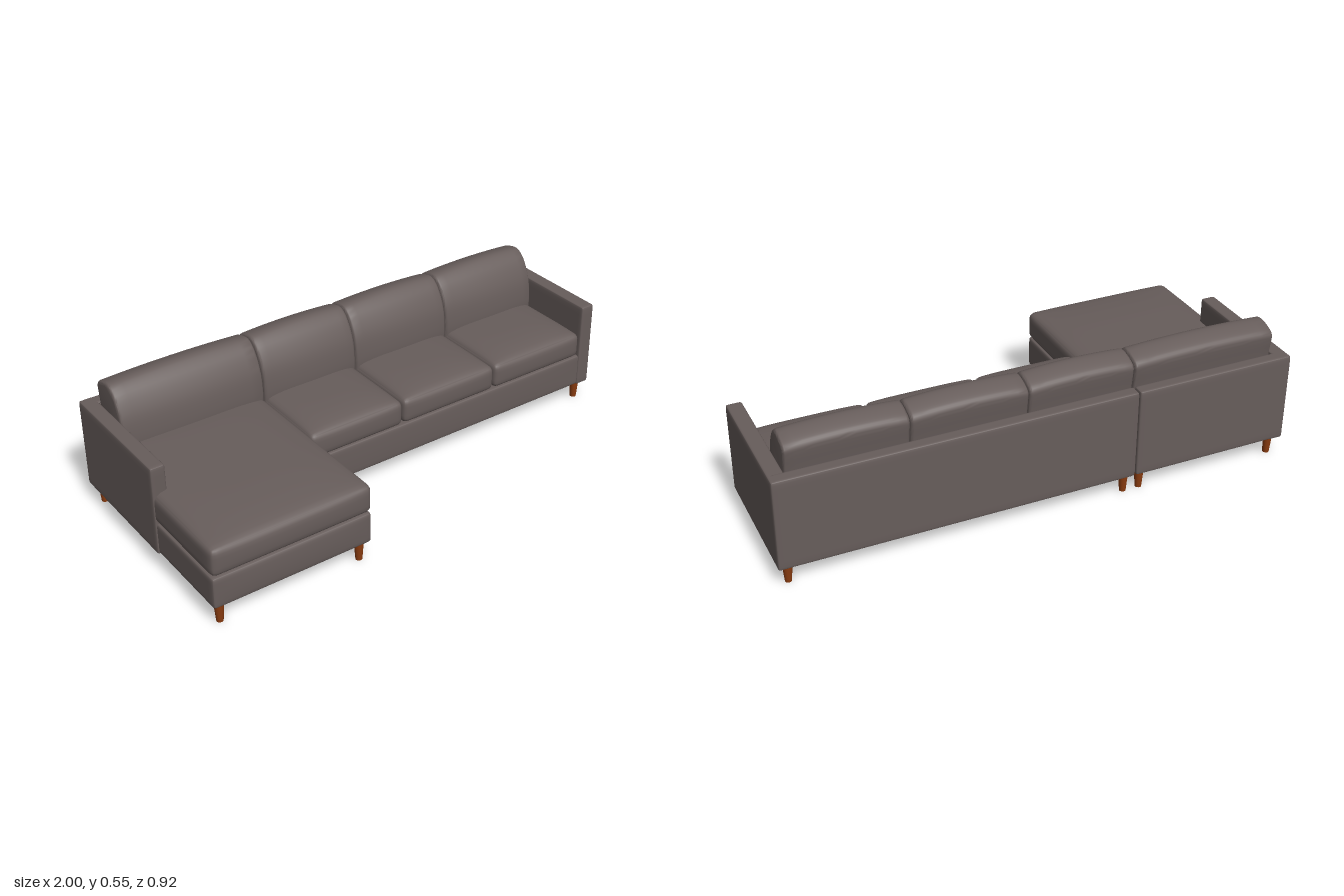
import * as THREE from 'three';
import { mergeVertices, toCreasedNormals } from 'three/addons/utils/BufferGeometryUtils.js';

const fabric = new THREE.MeshStandardMaterial({ color: 0x675d5b });
fabric.name = 'taupe fabric';
const wood = new THREE.MeshStandardMaterial({ color: 0x8a3c10 });
wood.name = 'warm wood';

// Upholstered block between two corners: rounded edges, optional crowned top and bulging front
function softBox(min, max, radius, crown = 0, bulge = 0) {
  let g = new THREE.BoxGeometry(2, 2, 2, 18, 12, 18);
  g.deleteAttribute('uv');
  g.deleteAttribute('normal');
  g = mergeVertices(g);
  const half = min.map((v, i) => (max[i] - v) / 2);
  const inner = new THREE.Vector3(...half.map((h) => h - radius));
  const pos = g.attributes.position;
  const p = new THREE.Vector3(), core = new THREE.Vector3();
  // crowd the grid lines towards the edges
  const ease = (t) => Math.sign(t) * (1 - Math.pow(1 - Math.abs(t), 2.4));
  for (let i = 0; i < pos.count; i++) {
    const u = ease(pos.getX(i)), v = ease(pos.getY(i)), w = ease(pos.getZ(i));
    p.set(u * half[0], v * half[1], w * half[2]);
    core.copy(p).clamp(inner.clone().negate(), inner);
    p.sub(core).setLength(radius).add(core);
    p.y += crown * (1 - u ** 4) * (1 - w ** 4) * (v + 1) / 2;
    p.z += bulge * (1 - u ** 4) * (1 - v ** 2) * (w + 1) / 2;
    pos.setXYZ(i, p.x, p.y, p.z);
  }
  g.translate(...min.map((v, i) => (v + max[i]) / 2));
  g.computeVertexNormals();
  return g;
}

// Leaning back cushion: side profile (z, y) swept along x, slightly fuller in the middle
function backCushion(x0, x1) {
  const profile = [
    [-0.238, 0.29], [-0.236, 0.35], [-0.247, 0.43], [-0.277, 0.497], [-0.31, 0.531],
    [-0.34, 0.537], [-0.385, 0.524], [-0.406, 0.508], [-0.406, 0.48], [-0.398, 0.42], [-0.385, 0.29],
  ].map(([z, y]) => new THREE.Vector2(-z, y));
  const curve = new THREE.SplineCurve(profile);
  const shape = new THREE.Shape(curve.getPoints(40));
  const b = 0.012;
  let g = new THREE.ExtrudeGeometry(shape, {
    depth: x1 - x0 - 2 * b, steps: 14, bevelEnabled: true,
    bevelSize: b, bevelThickness: b, bevelOffset: -b * 0.6, bevelSegments: 4,
  });
  g.rotateY(Math.PI / 2);
  g.translate(x0 + b, 0, 0);
  const pos = g.attributes.position;
  for (let i = 0; i < pos.count; i++) {
    const u = (2 * pos.getX(i) - x0 - x1) / (x1 - x0);
    const y = pos.getY(i), z = pos.getZ(i);
    const full = 1 - u * u;
    if (y > 0.4) pos.setY(i, y + 0.009 * full * (y - 0.4) / 0.14);
    if (z > -0.3) pos.setZ(i, z + 0.01 * full * (z + 0.3) / 0.06);
  }
  g.deleteAttribute('uv');
  g = toCreasedNormals(g, 0.7);
  return g;
}

export function createModel() {
  const model = new THREE.Group();
  model.name = 'sectionalSofa';
  const add = (parent, name, geometry, material = fabric) => {
    const mesh = new THREE.Mesh(geometry, material);
    mesh.name = name;
    parent.add(mesh);
    return mesh;
  };
  const section = (name) => {
    const g = new THREE.Group();
    g.name = name;
    model.add(g);
    return g;
  };

  // Chaise section on the model's right
  const chaise = section('chaiseSection');
  add(chaise, 'chaiseBase', softBox([-0.994, 0.078, -0.45], [-0.362, 0.204, 0.45], 0.012, 0, 0.005));
  add(chaise, 'chaiseSeat', softBox([-0.995, 0.205, -0.41], [-0.358, 0.319, 0.453], 0.026, 0.022, 0.007));
  add(chaise, 'chaiseBack', softBox([-0.998, 0.076, -0.46], [-0.364, 0.43, -0.408], 0.01));
  add(chaise, 'chaiseArm', softBox([-1, 0.075, -0.46], [-0.942, 0.43, 0.078], 0.009));

  // Three-seat section on the model's left
  const sofa = section('sofaSection');
  add(sofa, 'sofaBase', softBox([-0.36, 0.076, -0.45], [0.95, 0.21, 0.074], 0.01, 0, 0.003));
  add(sofa, 'sofaBack', softBox([-0.36, 0.076, -0.461], [0.995, 0.431, -0.408], 0.01));
  add(sofa, 'sofaArm', softBox([0.937, 0.075, -0.46], [0.997, 0.43, 0.078], 0.009));

  // Seat and back cushions share the same seams
  const seams = [-0.362, 0.052, 0.491, 0.936];
  for (let i = 0; i < 3; i++) {
    const [a, b] = [seams[i] + 0.001, seams[i + 1] - 0.001];
    add(sofa, 'seatCushion', softBox([a, 0.211, -0.41], [b, 0.314, 0.078], 0.024, 0.022, 0.005));
    add(sofa, 'backCushion', backCushion(a, b));
  }
  add(chaise, 'backCushion', backCushion(-0.943, -0.364));

  // Tapered legs, four under each section
  const legGeometry = new THREE.CylinderGeometry(0.0185, 0.0125, 0.08, 16);
  const addLegs = (parent, xs, zs) => {
    for (const x of xs) {
      for (const z of zs) add(parent, 'leg', legGeometry, wood).position.set(x, 0.04, z);
    }
  };
  addLegs(chaise, [-0.96, -0.396], [0.418, -0.422]);
  addLegs(sofa, [-0.33, 0.957], [0.042, -0.422]);

  return model;
}
